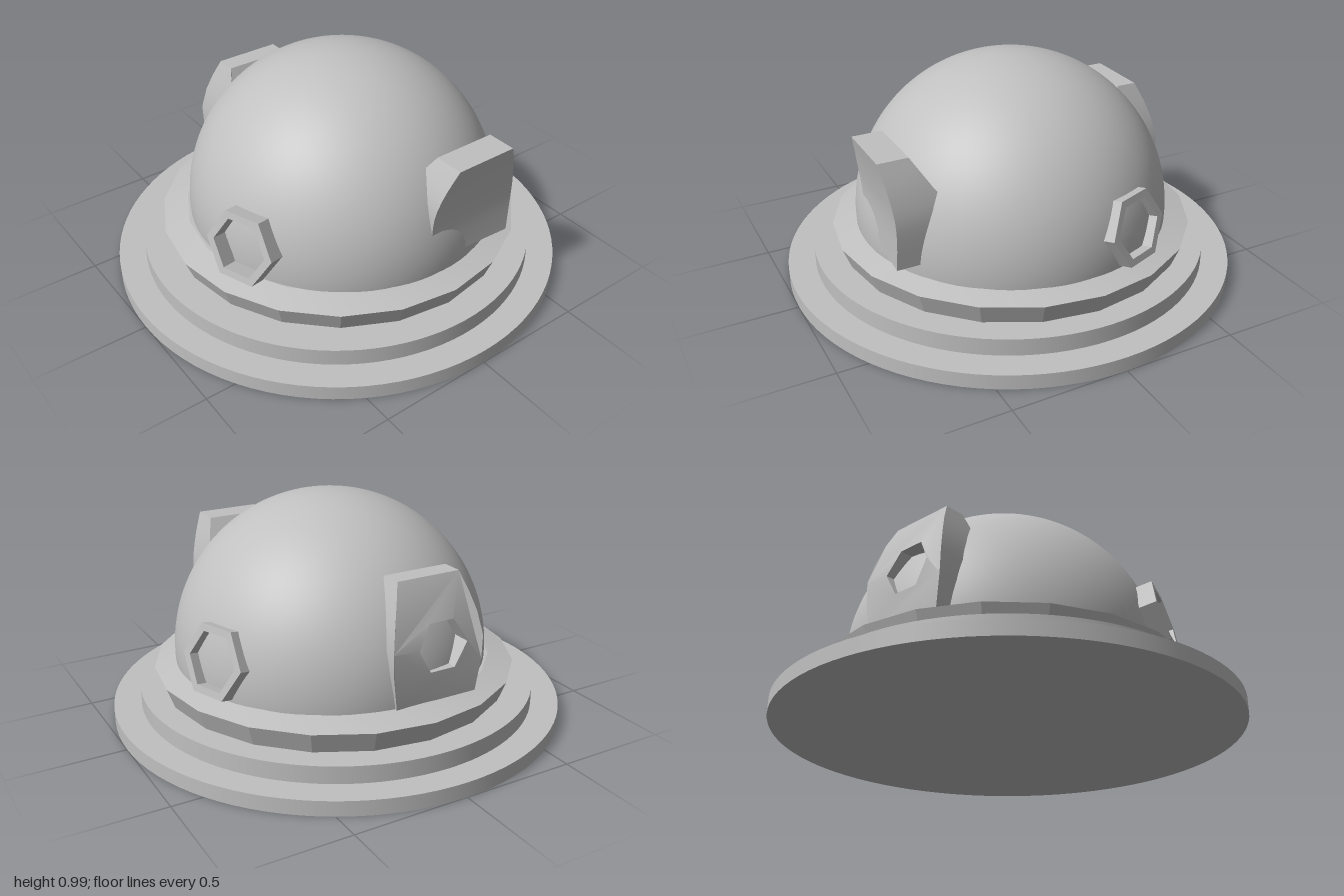
import * as THREE from 'three';
import { toCreasedNormals } from 'three/addons/utils/BufferGeometryUtils.js';

const grey = new THREE.MeshStandardMaterial({ color: 0xc0c0c0 });
grey.name = 'stone grey';

// Piecewise linear lookup in rows of [y, value, value, ...]
function sample(rows, y, column) {
  for (let i = 1; i < rows.length; i++) {
    const a = rows[i - 1], b = rows[i];
    if (y <= b[0] || i === rows.length - 1) {
      const t = THREE.MathUtils.clamp((y - a[0]) / (b[0] - a[0]), 0, 1);
      return a[column] + (b[column] - a[column]) * t;
    }
  }
}

function hexagon(path, r, x = 0, y = 0) {
  const points = [];
  for (let i = 0; i < 6; i++) {
    const a = i * Math.PI / 3;
    points.push(new THREE.Vector2(x + r * Math.cos(a), y + r * Math.sin(a)));
  }
  return path.setFromPoints(points);
}

function bend(geometry, rule) {
  const p = geometry.attributes.position;
  const v = new THREE.Vector3();
  for (let i = 0; i < p.count; i++) {
    rule(v.fromBufferAttribute(p, i));
    p.setXYZ(i, v.x, v.y, v.z);
  }
  return toCreasedNormals(geometry, 0.5);
}

export function createModel() {
  const model = new THREE.Group();
  const add = (name, geometry, x = 0, y = 0, z = 0) => {
    const mesh = new THREE.Mesh(geometry, grey);
    mesh.name = name;
    mesh.position.set(x, y, z);
    model.add(mesh);
    return mesh;
  };

  // Two round steps
  add('lowerStep', new THREE.CylinderGeometry(1, 1, 0.065, 96), 0, 0.0325, 0);
  add('upperStep', new THREE.CylinderGeometry(0.88, 0.88, 0.075, 96), 0, 0.1025, 0);

  // Faceted collar: flared band with a sloping top
  const collar = [[0.6, 0.14], [0.765, 0.14], [0.8, 0.232], [0.69, 0.262], [0.6, 0.262]]
    .map(([r, y]) => new THREE.Vector2(r, y));
  add('collar', toCreasedNormals(new THREE.LatheGeometry(collar, 20), 0.1), 0.015, 0, -0.005);

  // Dome, carried a little below its equator
  add('dome', new THREE.SphereGeometry(0.69, 80, 48, 0, Math.PI * 2, 0, Math.PI * 0.56),
    0.03, 0.295, 0.005);

  // Hexagonal port frames on both sides
  const frame = hexagon(new THREE.Shape(), 0.163);
  frame.holes.push(hexagon(new THREE.Path(), 0.128));
  const frameGeometry = new THREE.ExtrudeGeometry(frame, { depth: 0.075, bevelEnabled: false });
  frameGeometry.translate(0, 0, -0.075);
  for (const [name, x, z, azimuth] of [['leftPort', 0.7, -0.23, 110], ['rightPort', -0.668, 0.245, -70]]) {
    const port = add(name, frameGeometry, x, 0.42, z);
    port.rotation.order = 'YXZ';
    port.rotation.y = THREE.MathUtils.degToRad(azimuth);
    port.rotation.x = THREE.MathUtils.degToRad(-13);
  }

  // Front block with a hollowed face: y, left x, right x, face z, back z
  const front = [
    [0.31, 0.01, 0.39, 0.692, 0.4],
    [0.43, -0.022, 0.398, 0.688, 0.4],
    [0.52, -0.025, 0.4, 0.69, 0.42],
    [0.6, -0.015, 0.387, 0.7, 0.5],
    [0.68, 0.015, 0.365, 0.713, 0.55],
    [0.76, 0.05, 0.335, 0.73, 0.6],
  ];
  add('frontBlock', bend(new THREE.BoxGeometry(1, 1, 1, 1, 10, 1), (v) => {
    const y = 0.31 + (v.y + 0.5) * 0.45;
    const isLeft = v.x < 0, isFace = v.z > 0;
    v.set(sample(front, y, isLeft ? 1 : 2), y, sample(front, y, isFace ? 3 : 4));
    if (isFace && isLeft) v.z -= 0.02 * (0.76 - y) / 0.45;
  }));

  // Rear block with a bulging face and hexagonal recess: y, half width, face z, back z
  const rear = [
    [0.26, 0.19, 0.688, 0.4],
    [0.4, 0.21, 0.695, 0.4],
    [0.5, 0.213, 0.695, 0.4],
    [0.6, 0.195, 0.672, 0.44],
    [0.68, 0.172, 0.643, 0.48],
    [0.76, 0.145, 0.605, 0.515],
  ];
  const outline = new THREE.Shape([
    ...rear.map(([y, w]) => new THREE.Vector2(w, y)),
    ...[...rear].reverse().map(([y, w]) => new THREE.Vector2(-w, y)),
  ]);
  outline.holes.push(hexagon(new THREE.Path(), 0.115, 0.02, 0.49));
  const rearGeometry = new THREE.ExtrudeGeometry(outline, { depth: 1, bevelEnabled: false });
  add('rearBlock', bend(rearGeometry, (v) => {
    v.z = sample(rear, v.y, v.z > 0.5 ? 2 : 3);
  }), -0.068, 0, 0).rotation.y = Math.PI;

  return model;
}
